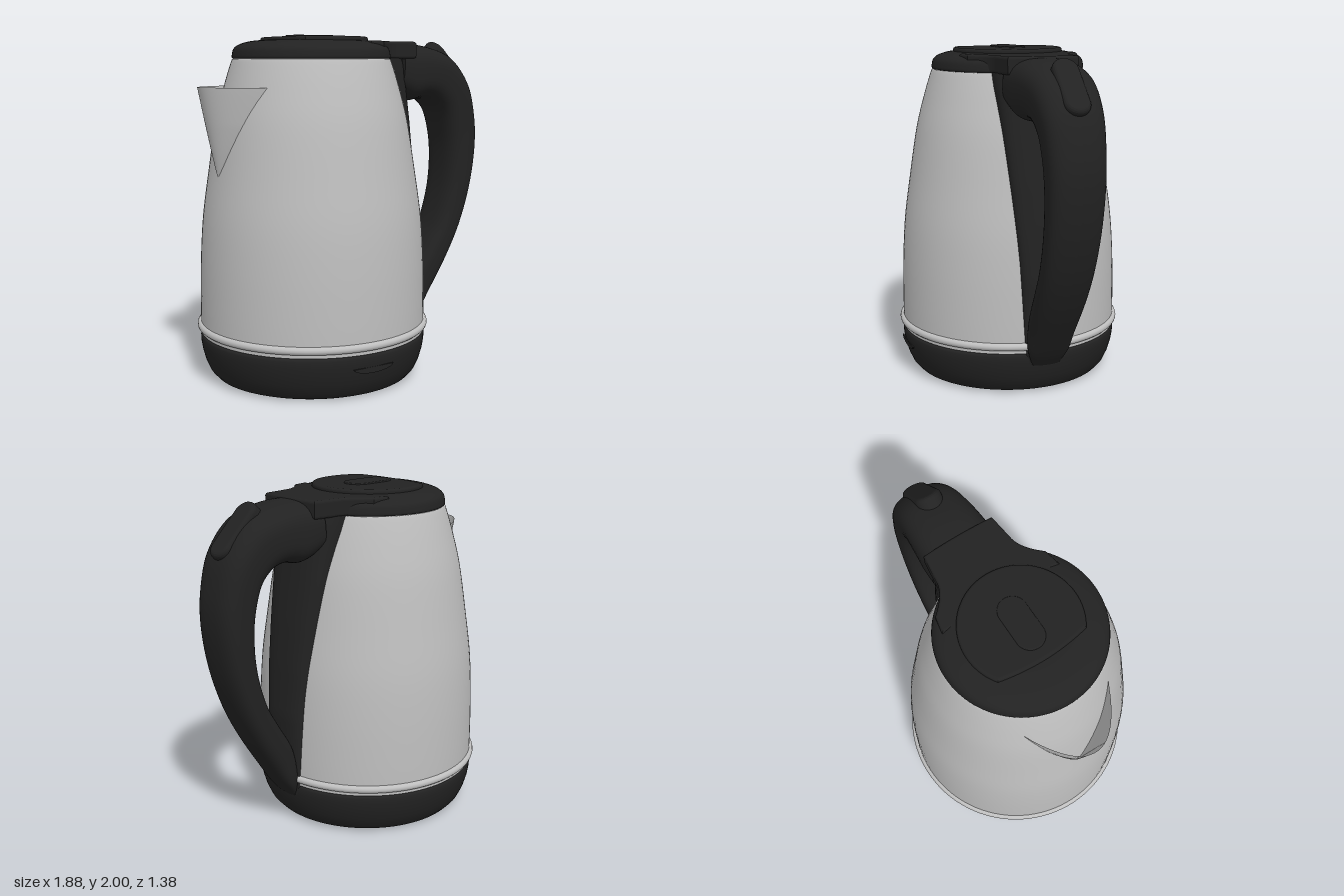
import * as THREE from 'three';

const CX = -0.23; // axis of the jug
const V2 = (x, y) => new THREE.Vector2(x, y);
const V3 = (x, y, z) => new THREE.Vector3(x, y, z);

const black = new THREE.MeshStandardMaterial({ color: 0x222222 });
black.name = 'blackPlastic';
const steel = new THREE.MeshStandardMaterial({ color: 0xbfbfbf, side: THREE.DoubleSide });
steel.name = 'brushedSteel';

// Jug wall as [radius, height]
const wall = [[0.668, 0.265], [0.668, 0.45], [0.662, 0.7], [0.645, 0.95], [0.61, 1.2],
  [0.562, 1.5], [0.512, 1.7], [0.467, 1.845], [0.455, 1.865]];

function radiusAt(y) {
  for (let i = 1; i < wall.length; i++) {
    const [r0, y0] = wall[i - 1], [r1, y1] = wall[i];
    if (y <= y1) return r0 + (r1 - r0) * Math.max(0, (y - y0) / (y1 - y0));
  }
  return wall[wall.length - 1][0];
}

// Smooth value from a [key, value] list
function lookup(list, k) {
  for (let i = 1; i < list.length; i++) {
    const [a, v] = list[i - 1], [b, w] = list[i];
    if (k <= b) return v + (w - v) * Math.max(0, (k - a) / (b - a));
  }
  return list[list.length - 1][1];
}

function lathe(points, smooth) {
  let pts = points.map(([r, y]) => V2(r, y));
  if (smooth) pts = new THREE.SplineCurve(pts).getPoints(40);
  pts.forEach((p) => { p.x = Math.max(0, p.x); });
  return new THREE.LatheGeometry(pts, 96).translate(CX, 0, 0);
}

// Skin through equal-length cross-sections, with optional fan caps
function loft(sections, capStart, capEnd) {
  const n = sections[0].length, pos = [], idx = [];
  sections.forEach((s) => s.forEach((p) => pos.push(p.x, p.y, p.z)));
  for (let i = 0; i < sections.length - 1; i++) {
    for (let j = 0; j < n - 1; j++) {
      const a = i * n + j, c = a + n;
      idx.push(a, a + 1, c, a + 1, c + 1, c);
    }
  }
  const cap = (s, flip) => {
    const start = pos.length / 3, mid = V3(0, 0, 0);
    s.forEach((p) => { mid.addScaledVector(p, 1 / n); pos.push(p.x, p.y, p.z); });
    pos.push(mid.x, mid.y, mid.z);
    for (let j = 0; j < n - 1; j++) {
      const a = start + j;
      idx.push(start + n, flip ? a + 1 : a, flip ? a : a + 1);
    }
  };
  if (capStart) cap(sections[0], true);
  if (capEnd) cap(sections[sections.length - 1], false);
  const g = new THREE.BufferGeometry();
  g.setAttribute('position', new THREE.Float32BufferAttribute(pos, 3));
  g.setIndex(idx);
  g.computeVertexNormals();
  return g;
}

const soft = (v, e) => Math.sign(v) * Math.pow(Math.abs(v), e);

// Flat slab seen from above, from height y0 to y1 with a rounded edge
function slab(shape, y0, y1, bevel) {
  return new THREE.ExtrudeGeometry(shape, {
    depth: y1 - y0 - 2 * bevel, bevelThickness: bevel, bevelSize: bevel,
    bevelOffset: -bevel, bevelSegments: 4, curveSegments: 32,
  }).rotateX(-Math.PI / 2).translate(0, y0 + bevel, 0);
}

function stadium(length, width) {
  const r = width / 2, h = length / 2 - r, s = new THREE.Shape();
  s.absarc(h, 0, r, -Math.PI / 2, Math.PI / 2);
  s.absarc(-h, 0, r, Math.PI / 2, Math.PI * 1.5);
  s.closePath();
  return s;
}

// Grip: paired outer and inner edge points with half-width
function gripGeometry() {
  const rows = [
    [0.30, 1.95, 0.28, 1.66, 0.215], [0.40, 1.957, 0.40, 1.61, 0.21],
    [0.55, 1.94, 0.50, 1.625, 0.20], [0.72, 1.88, 0.58, 1.605, 0.187],
    [0.86, 1.72, 0.65, 1.54, 0.175], [0.92, 1.53, 0.695, 1.40, 0.165],
    [0.935, 1.35, 0.71, 1.25, 0.16], [0.90, 1.08, 0.695, 1.05, 0.155],
    [0.82, 0.82, 0.63, 0.83, 0.15], [0.72, 0.61, 0.55, 0.69, 0.145],
    [0.58, 0.38, 0.45, 0.52, 0.135], [0.50, 0.26, 0.42, 0.35, 0.125],
    [0.44, 0.185, 0.41, 0.22, 0.09]];
  const outer = new THREE.CatmullRomCurve3(rows.map((r) => V3(r[0], r[1], r[4])));
  const inner = new THREE.CatmullRomCurve3(rows.map((r) => V3(r[2], r[3], r[4])));
  const sections = [];
  for (let i = 0; i <= 72; i++) {
    const o = outer.getPoint(i / 72), n = inner.getPoint(i / 72), ring = [];
    for (let j = 0; j <= 40; j++) {
      const a = (j / 40) * Math.PI * 2;
      const c = soft(Math.cos(a), 0.7), s = soft(Math.sin(a), 0.7);
      ring.push(V3((o.x + n.x) / 2 + (o.x - n.x) / 2 * c,
        (o.y + n.y) / 2 + (o.y - n.y) / 2 * c, o.z * s));
    }
    sections.push(ring);
  }
  return loft(sections, true, true);
}

// Tapered back plate joining the grip to the jug wall
function backPlateGeometry() {
  const front = [[0.2, 0.445], [0.3, 0.455], [0.7, 0.475], [1.0, 0.45], [1.25, 0.42],
    [1.5, 0.383], [1.87, 0.33]];
  const width = [[0.2, 0.11], [0.3, 0.13], [0.8, 0.155], [1.2, 0.185], [1.8, 0.235], [1.87, 0.235]];
  const sections = [];
  for (let i = 0; i <= 40; i++) {
    const y = 0.2 + (1.67 * i) / 40, w = lookup(width, y), r = radiusAt(y);
    const edge = CX + Math.sqrt(r * r - w * w) - 0.015, tip = lookup(front, y), half = [];
    for (let j = 0; j <= 24; j++) {
      const a = (j / 24) * Math.PI;
      half.push(V3(edge + (tip - edge) * soft(Math.sin(a), 0.7), y, w * soft(Math.cos(a), 0.8)));
    }
    sections.push(half);
  }
  return loft(sections, true, true);
}

// Pouring spout: parabolic sections ending on the jug wall
function spoutGeometry() {
  const sections = [];
  for (let i = 0; i <= 24; i++) {
    const t = i / 24, y = 1.2 + 0.51 * t, w = 0.004 + 0.271 * Math.pow(t, 0.85), r = radiusAt(y);
    const root = CX - Math.sqrt(r * r - w * w) + 0.008, tip = -0.838 - 0.102 * t, row = [];
    for (let j = 0; j <= 32; j++) {
      const u = j / 16 - 1;
      row.push(V3(tip + (root - tip) * u * u, y, w * u));
    }
    sections.push(row);
  }
  return loft(sections, false, false);
}

export function createModel() {
  const model = new THREE.Group();
  const add = (name, geometry, material) => {
    const m = new THREE.Mesh(geometry, material);
    m.name = name;
    model.add(m);
    return m;
  };

  // Jug
  add('jugBody', lathe(wall, true), steel);
  add('jugRing', new THREE.TorusGeometry(0.667, 0.023, 12, 96).rotateX(Math.PI / 2).translate(CX, 0.308, 0), steel);
  add('spout', spoutGeometry(), steel);

  // Base with recessed underside
  add('base', lathe([[0, 0.03], [0.2, 0.03], [0.24, 0.018], [0.42, 0.018], [0.46, 0], [0.56, 0],
    [0.59, 0.012], [0.62, 0.045], [0.645, 0.1], [0.662, 0.16], [0.67, 0.21], [0.671, 0.245],
    [0.664, 0.256], [0.64, 0.262], [0.64, 0.28]]), black);
  for (const r of [0.05, 0.09]) {
    add('socketRing', new THREE.TorusGeometry(r, 0.01, 8, 40).rotateX(Math.PI / 2).translate(CX, 0.028, 0), black);
  }
  for (let i = 0; i < 4; i++) {
    const a = Math.PI / 4 + (i * Math.PI) / 2;
    const foot = add('footPad', slab(stadium(0.1, 0.03), 0.012, 0.02, 0.002), black);
    foot.position.set(CX + 0.38 * Math.cos(a), 0, 0.38 * Math.sin(a));
    foot.rotation.y = -a + Math.PI / 2;
  }
  const tab = new THREE.Shape();
  tab.moveTo(-0.13, 0.19);
  tab.bezierCurveTo(-0.11, 0.145, 0.11, 0.145, 0.13, 0.19);
  tab.closePath();
  add('baseTab', new THREE.ExtrudeGeometry(tab, { depth: 0.009, bevelEnabled: false }).translate(CX, 0, 0.659), black);

  // Lid, its neck towards the handle, raised panel and button
  add('lid', lathe([[0.43, 1.862], [0.458, 1.868], [0.46, 1.89], [0.448, 1.925], [0.41, 1.95],
    [0.33, 1.968], [0.2, 1.973], [0, 1.975]], true), black);
  const neck = new THREE.Shape();
  neck.moveTo(-0.05, -0.36);
  neck.lineTo(0.05, -0.34);
  neck.quadraticCurveTo(0.14, -0.235, 0.22, -0.23);
  neck.lineTo(0.372, -0.212);
  neck.quadraticCurveTo(0.385, 0, 0.372, 0.212);
  neck.lineTo(0.22, 0.23);
  neck.quadraticCurveTo(0.14, 0.235, 0.05, 0.34);
  neck.lineTo(-0.05, 0.36);
  neck.closePath();
  add('lidNeck', slab(neck, 1.865, 1.966, 0.016), black);
  const panel = new THREE.Shape(), arc = 2.2;
  panel.absarc(CX, 0, 0.33, -arc, arc);
  panel.quadraticCurveTo(-0.485, 0, CX + 0.33 * Math.cos(arc), -0.33 * Math.sin(arc));
  add('lidPanel', slab(panel, 1.95, 1.991, 0.016), black);
  add('lidButton', slab(stadium(0.32, 0.16), 1.98, 2.0, 0.007).translate(CX, 0, 0), black);

  // Handle
  add('backPlate', backPlateGeometry(), black);
  add('grip', gripGeometry(), black);
  const lever = add('switch', slab(stadium(0.37, 0.15), -0.06, 0.04, 0.025), black);
  lever.position.set(0.745, 1.82, 0);
  lever.rotation.z = -0.8;

  return model;
}
